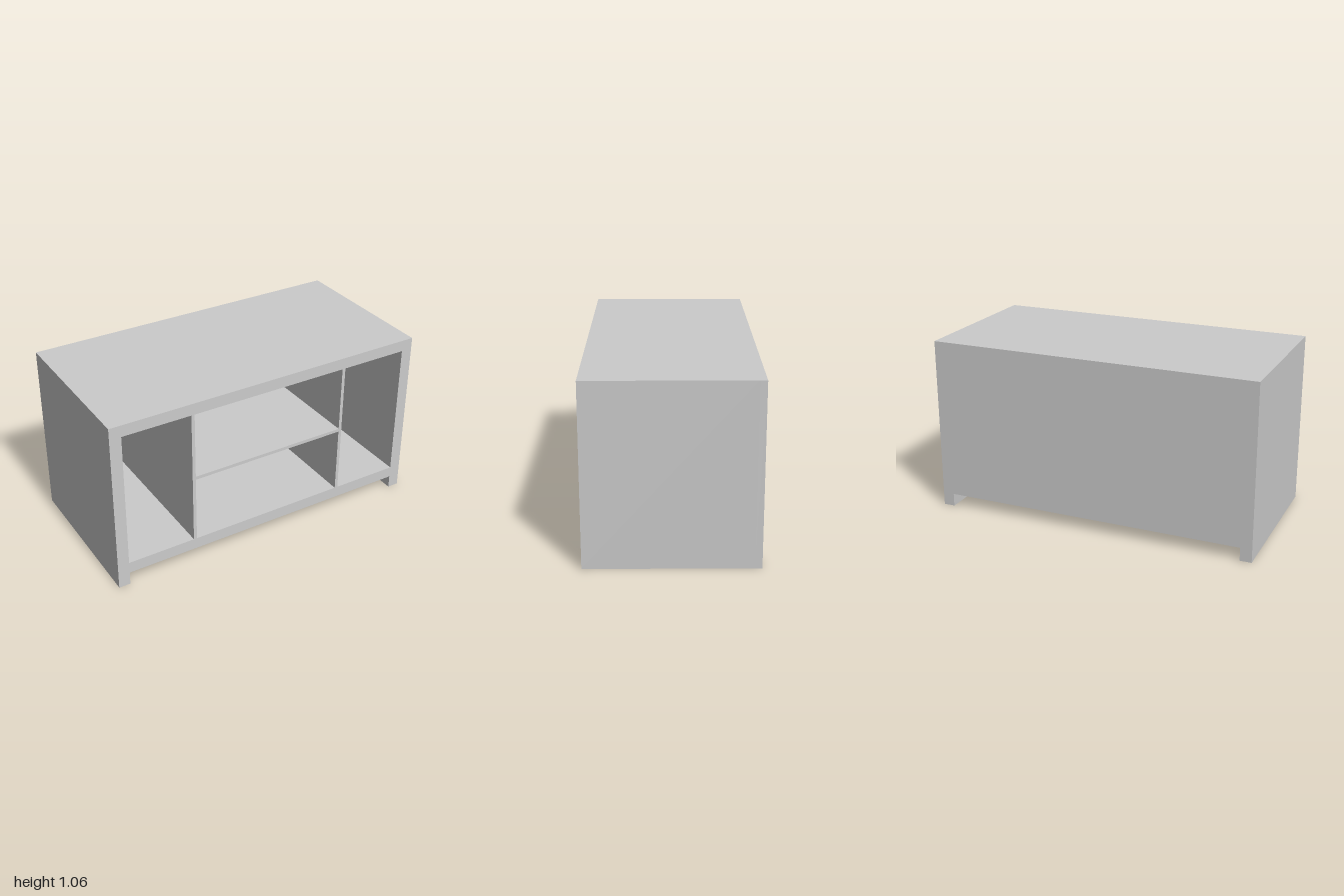
import * as THREE from 'three';

const HEIGHT = 1.06, DEPTH = 0.98, BACK = 0.04;
const INNER = 0.93;              // half width between the side walls
const FLOOR = 0.15, CEILING = 0.99, UNDERSIDE = 0.08;

// Closed rectangle path
function rect(PathType, x0, x1, y0, y1) {
  const p = new PathType();
  p.moveTo(x0, y0);
  p.lineTo(x1, y0);
  p.lineTo(x1, y1);
  p.lineTo(x0, y1);
  p.closePath();
  return p;
}

// Front outline: a box whose sides run down to form two runners
function outline() {
  return new THREE.Shape([
    [-1, 0], [-INNER, 0], [-INNER, UNDERSIDE], [INNER, UNDERSIDE],
    [INNER, 0], [1, 0], [1, HEIGHT], [-1, HEIGHT],
  ].map(([x, y]) => new THREE.Vector2(x, y)));
}

export function createModel() {
  const group = new THREE.Group();
  group.name = 'openCabinet';
  const material = new THREE.MeshStandardMaterial({ color: 0xcccccc });

  const add = (name, shape, depth, z) => {
    const geometry = new THREE.ExtrudeGeometry(shape, { depth, bevelEnabled: false });
    const mesh = new THREE.Mesh(geometry, material);
    mesh.name = name;
    mesh.position.z = z;
    group.add(mesh);
  };

  // Carcass with side compartments and two centre compartments
  const carcass = outline();
  carcass.holes.push(
    rect(THREE.Path, -INNER, -0.512, FLOOR, CEILING),
    rect(THREE.Path, 0.512, INNER, FLOOR, CEILING),
    rect(THREE.Path, -0.492, 0.492, FLOOR, 0.563),
    rect(THREE.Path, -0.492, 0.492, 0.583, CEILING),
  );
  add('carcass', carcass, DEPTH - BACK, -DEPTH / 2 + BACK);

  // Back panel closing the compartments
  add('backPanel', outline(), BACK, -DEPTH / 2);

  return group;
}
